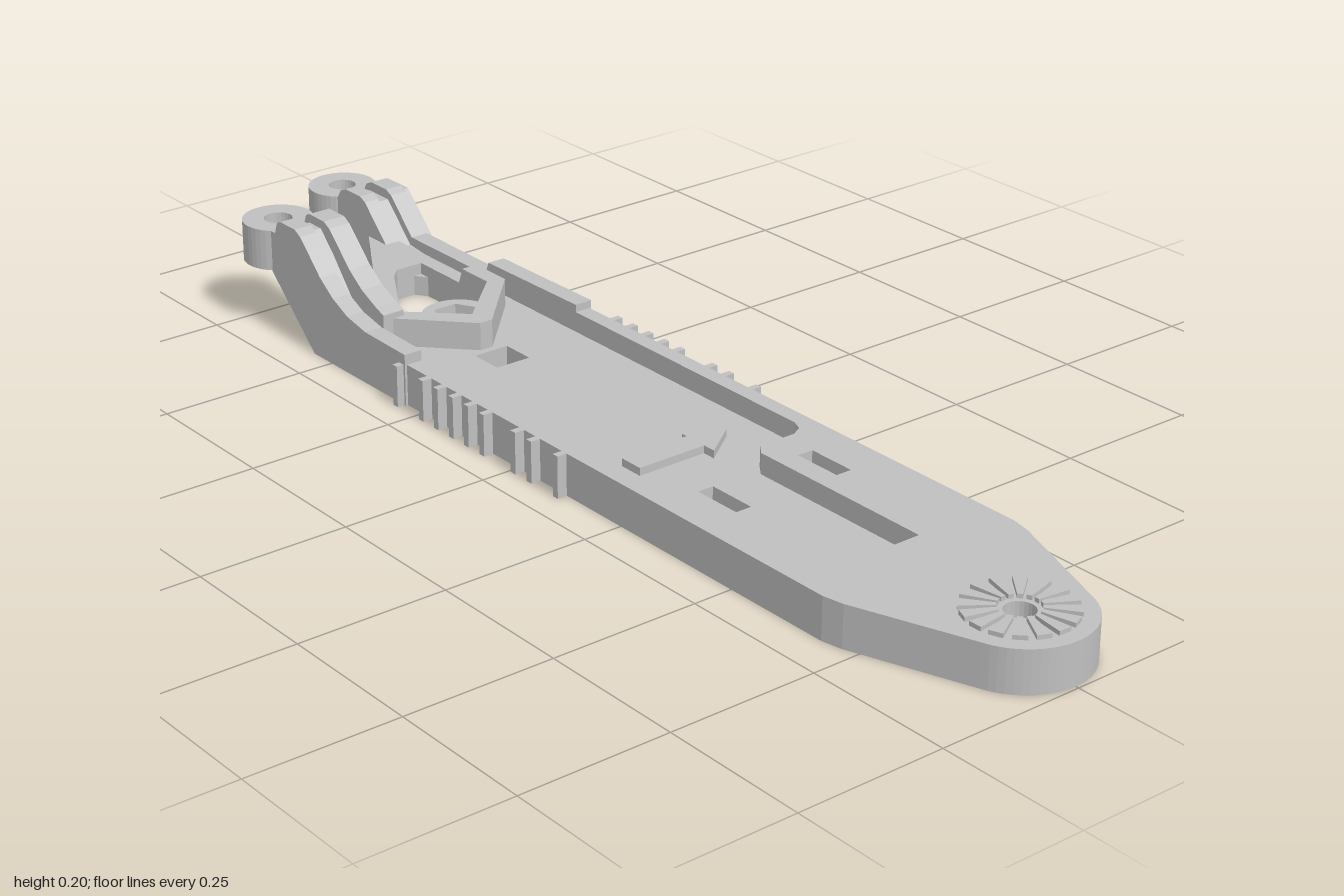
import * as THREE from 'three';

export function createModel() {
  const group = new THREE.Group();
  const grey = new THREE.MeshStandardMaterial({ color: 0xc0c0c0 });

  const add = (name, geo) => {
    const mesh = new THREE.Mesh(geo, grey);
    mesh.name = name;
    group.add(mesh);
    return mesh;
  };
  const vec = pts => pts.map(p => new THREE.Vector2(p[0], p[1]));
  const polygon = (cx, cz, r, n, a0 = 0) => Array.from({ length: n }, (_, i) => {
    const a = a0 + i / n * Math.PI * 2;
    return [cx + r * Math.cos(a), cz + r * Math.sin(a)];
  });
  const rect = (x0, x1, z0, z1) => [[x0, z0], [x1, z0], [x1, z1], [x0, z1]];

  // Plan shape in (x, z), raised from y0 to y1
  function slab(name, pts, y0, y1, holes = []) {
    const shape = new THREE.Shape(vec(pts));
    holes.forEach(h => shape.holes.push(new THREE.Path(vec(h))));
    const geo = new THREE.ExtrudeGeometry(shape, { depth: y1 - y0, bevelEnabled: false });
    return add(name, geo.rotateX(Math.PI / 2).translate(0, y1, 0));
  }
  // Side profile in (z, y), spread from x0 to x1
  function profile(name, pts, x0, x1) {
    const geo = new THREE.ExtrudeGeometry(new THREE.Shape(vec(pts)), { depth: x1 - x0, bevelEnabled: false });
    return add(name, geo.rotateY(-Math.PI / 2).translate(x1, 0, 0));
  }

  // Plate outline around the rounded nose, from +x to -x
  const nose = [[0.183, 0.69], [0.176, 0.725]];
  for (let i = 0; i <= 24; i++) {
    const a = THREE.MathUtils.degToRad(18 + i * 6);
    nose.push([0.11 * Math.cos(a), 0.885 + 0.11 * Math.sin(a)]);
  }
  nose.push([-0.176, 0.725], [-0.183, 0.69]);

  const slots = [-1, 1].map(s => rect(s * 0.097 - 0.014, s * 0.097 + 0.014, 0.34, 0.425));
  const pivotHole = polygon(0, 0.885, 0.024, 24);

  // Floor with the cable window, slots and the opening behind the V wall
  slab('floor', [
    ...nose, [-0.183, -0.55], [-0.09, -0.55], [-0.06, -0.56], [-0.03, -0.6],
    [0.1, -0.8], [0.1, -0.9], [0.185, -0.9], [0.183, -0.75],
  ], 0, 0.035, [
    pivotHole, ...slots, rect(-0.032, 0.032, -0.315, -0.255),
    [[0, -0.365], [0.1, -0.46], [0.1, -0.63], [0.085, -0.65], [0.05, -0.65], [0.03, -0.63], [-0.085, -0.44]],
  ]);

  // Raised upper layer around the pocket and the narrow channel
  slab('upperPlate', [
    ...nose, [-0.183, -0.53], [-0.155, -0.53], [-0.155, 0.25], [-0.147, 0.27], [-0.127, 0.28],
    [-0.06, 0.28], [-0.045, 0.3], [-0.045, 0.64], [0.045, 0.64], [0.045, 0.3], [0.06, 0.28],
    [0.127, 0.28], [0.147, 0.27], [0.155, 0.25], [0.155, -0.53], [0.183, -0.53],
  ], 0.035, 0.07, [pivotHole, ...slots]);
  profile('channelRamp', [[0.6, 0.034], [0.641, 0.034], [0.641, 0.07]], -0.045, 0.045);

  // Radial teeth round the pivot hole
  for (let i = 0; i < 16; i++) {
    const tooth = slab('pivotTooth', [[0.032, -0.004], [0.085, -0.011], [0.085, 0.011], [0.032, 0.004]], 0, 0.009);
    tooth.position.set(0, 0.068, 0.885);
    tooth.rotation.y = i / 16 * Math.PI * 2;
  }

  // Raised half arrow on the pocket floor
  slab('arrow', [[-0.1, 0.15], [0.025, 0.15], [0.025, 0.14], [0.09, 0.168], [0.025, 0.215], [0.025, 0.192], [-0.1, 0.192]], 0.034, 0.048);

  // Grip ribs on both long sides
  for (const s of [-1, 1]) {
    for (const z of [-0.3, -0.23, -0.19, -0.15, -0.11, -0.07, 0.01, 0.05, 0.115]) {
      if (s > 0 && z === -0.3) continue;
      add('gripRib', new THREE.BoxGeometry(0.02, 0.07, 0.012).translate(s * 0.19, 0.035, z));
    }
  }

  // V wall guiding the cables round the nut boss
  slab('vWall', [
    [-0.13, -0.56], [-0.13, -0.45], [-0.012, -0.327], [0.012, -0.327], [0.13, -0.45], [0.13, -0.53],
    [0.1, -0.53], [0.1, -0.46], [0, -0.365], [-0.1, -0.46], [-0.1, -0.56],
  ], 0.03, 0.083);

  // Nut boss: round hole below, hexagonal seat above
  const bossRim = polygon(0, -0.405, 0.06, 32);
  slab('nutBossBase', bossRim, 0, 0.04, [polygon(0, -0.405, 0.022, 24)]);
  slab('nutBossSeat', bossRim, 0.04, 0.07, [polygon(0, -0.405, 0.042, 6)]);

  // Diagonal strut between the two arms
  slab('strut', [
    [-0.1, -0.55], [-0.09, -0.56], [-0.06, -0.562], [-0.035, -0.59], [0.105, -0.815], [0.105, -0.65],
    [0.05, -0.65], [0.03, -0.63], [-0.085, -0.44], [-0.1, -0.44],
  ], 0, 0.055);

  // High arm: two curved walls with a cable groove between
  const highTop = [[-0.4, 0.09], [-0.45, 0.1], [-0.49, 0.118], [-0.525, 0.143], [-0.56, 0.178],
    [-0.58, 0.197], [-0.595, 0.205], [-0.638, 0.205], [-0.648, 0.2], [-0.655, 0.18], [-0.682, 0.18]];
  const highUnder = [[-0.682, 0.11], [-0.67, 0.11], [-0.55, 0]];
  profile('highArmOuterWall', [[-0.29, 0], [-0.29, 0.088], ...highTop, ...highUnder], -0.187, -0.155);
  profile('highArmInnerWall', [[-0.43, 0], [-0.43, 0.093], ...highTop.slice(1), ...highUnder], -0.13, -0.09);
  profile('highArmGroove', [[-0.4, 0], [-0.4, 0.035], [-0.46, 0.05], [-0.52, 0.095], [-0.57, 0.155],
    [-0.605, 0.19], [-0.638, 0.19], [-0.655, 0.18], [-0.682, 0.18], ...highUnder], -0.156, -0.129);
  slab('highArmEye', polygon(-0.145, -0.71, 0.06, 40), 0.11, 0.18, [polygon(-0.145, -0.71, 0.024, 24)]);

  // Low arm: straight walls with a hump before the eye
  const lowTop = [[-0.53, 0.08], [-0.54, 0.055], [-0.755, 0.055], [-0.815, 0.115], [-0.83, 0.122],
    [-0.875, 0.122], [-0.89, 0.115], [-0.9, 0.1], [-0.915, 0.1], [-0.915, 0]];
  profile('lowArmOuterWall', [[-0.29, 0], [-0.29, 0.083], ...lowTop], 0.155, 0.187);
  profile('lowArmInnerWall', [[-0.45, 0], [-0.45, 0.083], ...lowTop], 0.1, 0.128);
  profile('lowArmGroove', [[-0.7, 0], [-0.7, 0.034], [-0.76, 0.04], [-0.825, 0.105], [-0.88, 0.105],
    [-0.915, 0.1], [-0.915, 0]], 0.127, 0.156);
  // Flared cheek beside the hump
  profile('lowArmCheek', [[-0.73, 0.03], [-0.82, 0.118], [-0.88, 0.118], [-0.9, 0.098], [-0.9, 0], [-0.76, 0]], 0.186, 0.195);

  // Low eye: hexagonal seat below, round hole above
  const lowRim = polygon(0.14, -0.945, 0.06, 40);
  slab('lowArmEyeSeat', lowRim, 0, 0.04, [polygon(0.14, -0.945, 0.04, 6)]);
  slab('lowArmEye', lowRim, 0.04, 0.1, [polygon(0.14, -0.945, 0.024, 24)]);

  return group;
}
